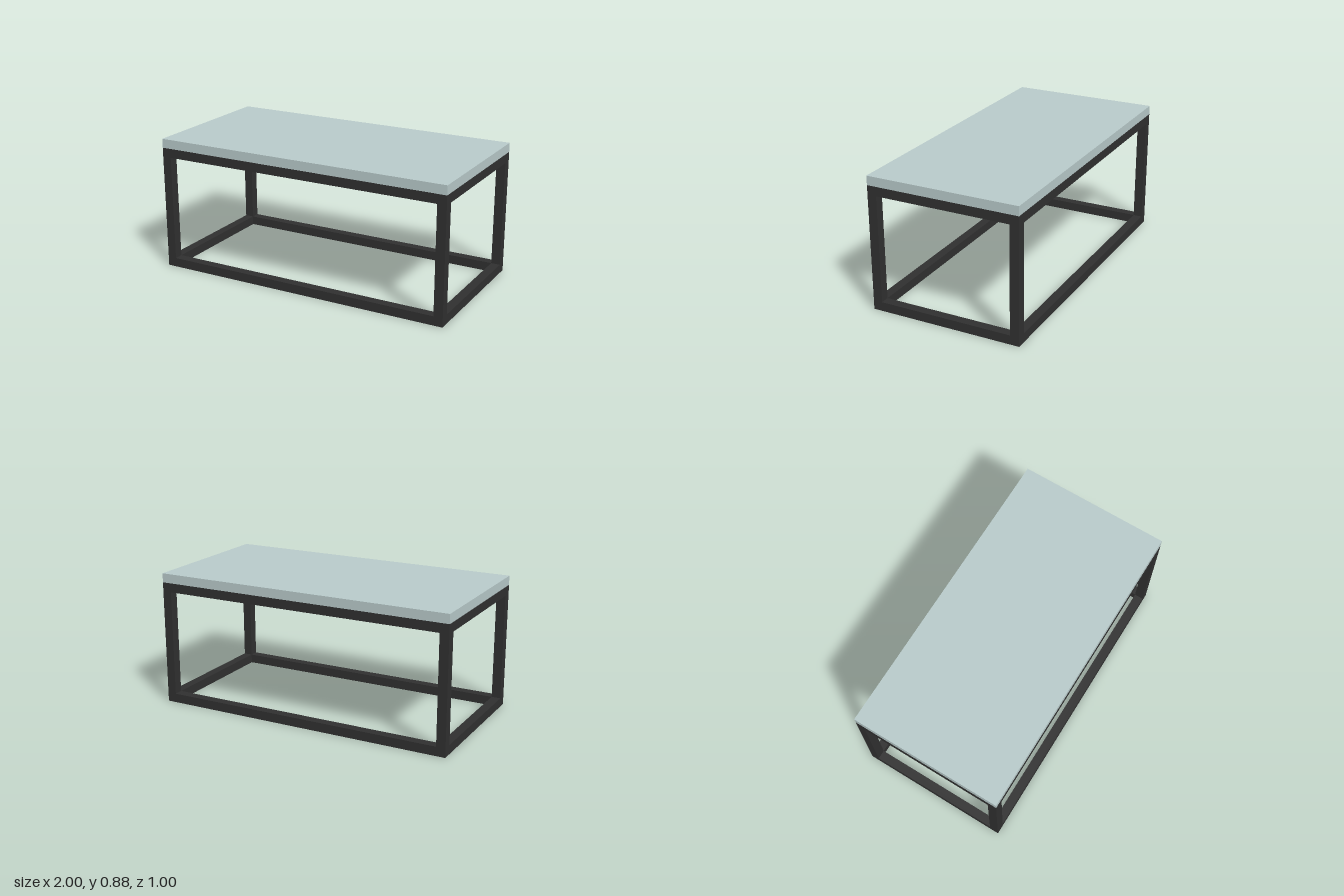
import * as THREE from 'three';

const W = 2, D = 1, FRAME_H = 0.82, TOP_H = 0.06, BAR = 0.06;

export function createModel() {
  const group = new THREE.Group();
  const metal = new THREE.MeshStandardMaterial({ color: 0x303030 });
  const slab = new THREE.MeshStandardMaterial({ color: 0xb8caca });

  const box = (name, size, position, material) => {
    const mesh = new THREE.Mesh(new THREE.BoxGeometry(...size), material);
    mesh.name = name;
    mesh.position.set(...position);
    group.add(mesh);
  };

  // Table top
  box('tableTop', [W, TOP_H, D], [0, FRAME_H + TOP_H / 2, 0], slab);

  const x = (W - BAR) / 2, z = (D - BAR) / 2;

  // Four full-height corner legs
  for (const sx of [-1, 1]) {
    for (const sz of [-1, 1]) {
      const name = (sz > 0 ? 'front' : 'back') + (sx > 0 ? 'Left' : 'Right') + 'Leg';
      box(name, [BAR, FRAME_H, BAR], [sx * x, FRAME_H / 2, sz * z], metal);
    }
  }

  // Upper and lower rails fitted between the legs
  for (const [level, y] of [['Lower', BAR / 2], ['Upper', FRAME_H - BAR / 2]]) {
    for (const s of [-1, 1]) {
      box((s > 0 ? 'front' : 'back') + level + 'Rail', [W - 2 * BAR, BAR, BAR], [0, y, s * z], metal);
      box((s > 0 ? 'left' : 'right') + level + 'Rail', [BAR, BAR, D - 2 * BAR], [s * x, y, 0], metal);
    }
  }

  return group;
}
